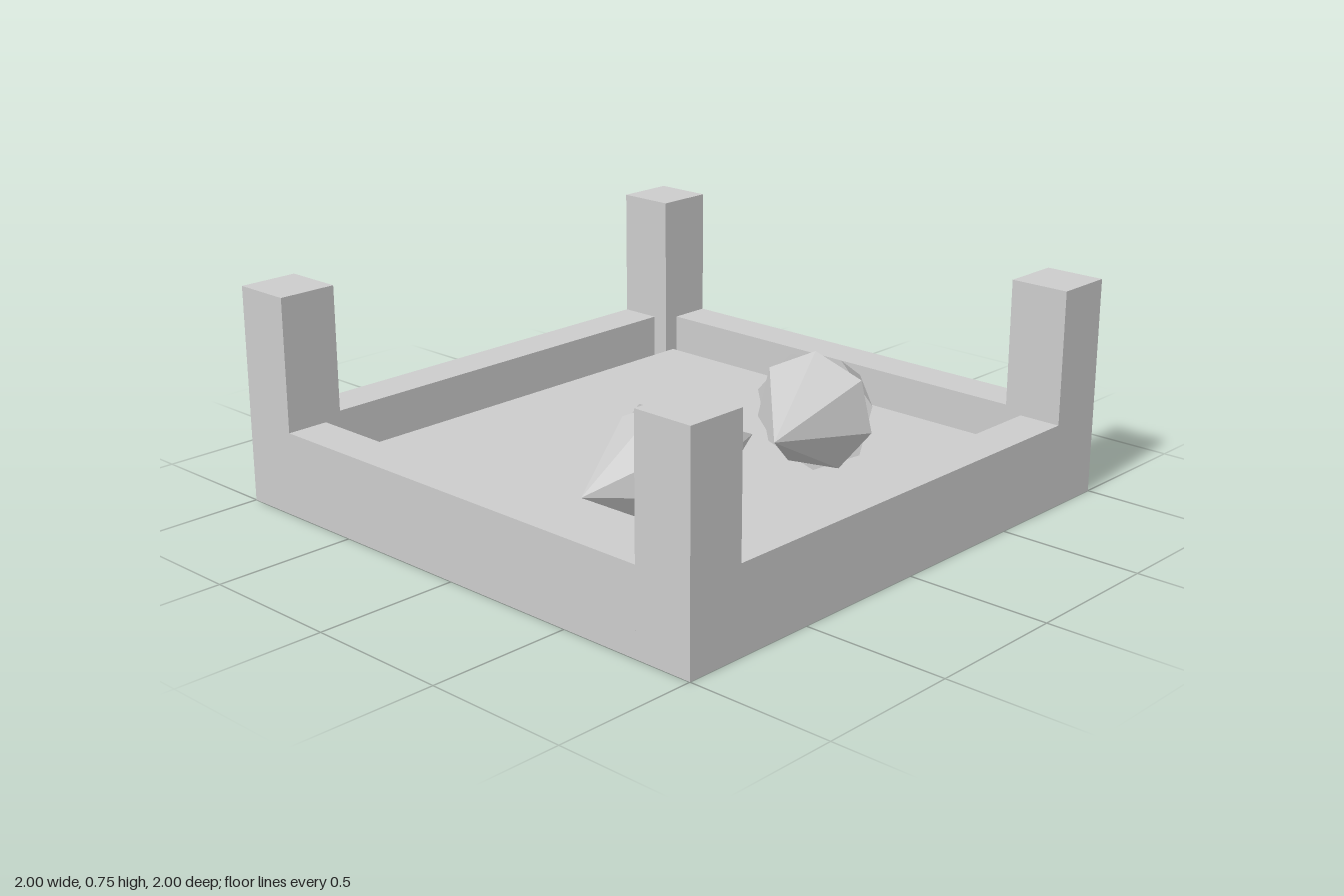
import * as THREE from 'three';

const material = new THREE.MeshStandardMaterial({ color: 0xcccccc, flatShading: true });

const POST = 0.21;    // post thickness
const POST_H = 0.75;  // post height
const WALL = 0.15;    // wall thickness
const WALL_H = 0.29;  // wall height
const FLOOR = 0.165;  // floor height

// Box standing with its underside at the given y
function box(name, w, h, d, x, y, z) {
  const mesh = new THREE.Mesh(new THREE.BoxGeometry(w, h, d), material);
  mesh.name = name;
  mesh.position.set(x, y + h / 2, z);
  return mesh;
}

// One seven-sided cone lying along x; direction +1 or -1 picks the way its tip points
function gemHalf(name, length, direction) {
  const geometry = new THREE.ConeGeometry(0.205, length, 7, 1, false, Math.PI / 2);
  geometry.translate(0, length / 2, 0);
  geometry.rotateZ(-direction * Math.PI / 2);
  const mesh = new THREE.Mesh(geometry, material);
  mesh.name = name;
  return mesh;
}

// Two cones base to base, their corners half a step apart
function gem(name, x, z, turn) {
  const group = new THREE.Group();
  group.name = name;
  group.add(gemHalf('longTip', 0.42, 1), gemHalf('shortTip', 0.335, -1));
  group.position.set(x, 0.37, z);
  group.rotation.y = turn;
  return group;
}

export function createModel() {
  const model = new THREE.Group();
  model.name = 'trayWithGems';

  // Base slab with a raised floor panel, leaving a narrow groove beside the walls
  model.add(box('base', 2 - 2 * WALL, 0.11, 2 - 2 * WALL, 0, 0, 0));
  model.add(box('floorPanel', 1.65, FLOOR - 0.11, 1.57, 0, 0.11, 0));

  // Low walls between the posts, and the four corner posts
  const span = 2 - 2 * POST;
  for (const s of [-1, 1]) {
    const at = s * (1 - WALL / 2);
    model.add(box(s > 0 ? 'frontWall' : 'backWall', span, WALL_H, WALL, 0, 0, at));
    model.add(box(s > 0 ? 'leftWall' : 'rightWall', WALL, WALL_H, span, at, 0, 0));
    for (const t of [-1, 1]) {
      const name = (t > 0 ? 'front' : 'back') + (s > 0 ? 'Left' : 'Right') + 'Post';
      model.add(box(name, POST, POST_H, POST, s * (1 - POST / 2), 0, t * (1 - POST / 2)));
    }
  }

  // Two spindle-shaped gems resting on the floor
  model.add(gem('rightGem', -0.555, 0.465, 0));
  model.add(gem('leftGem', 0.17, 0.465, 0.31));

  return model;
}
